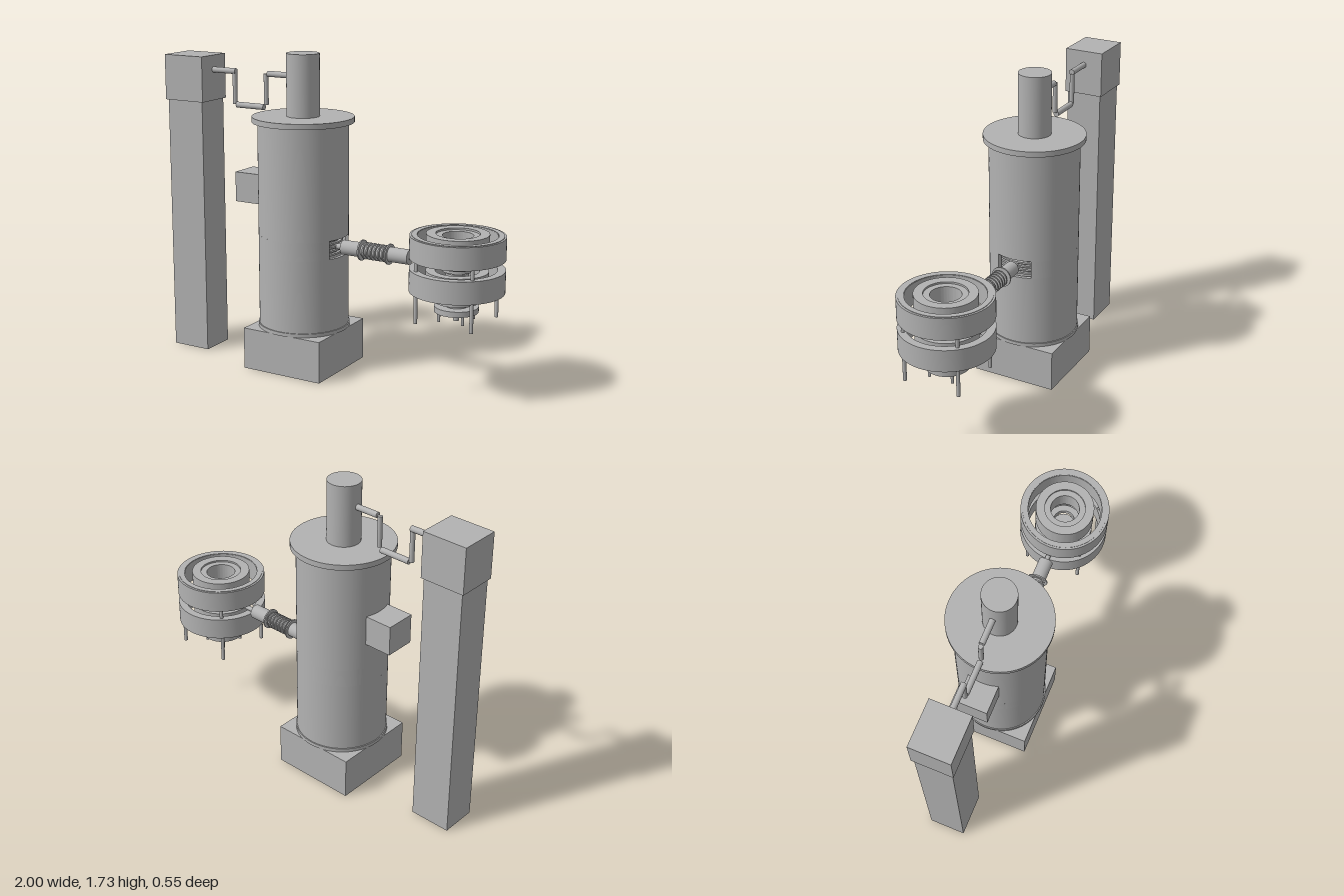
import * as THREE from 'three';
import { toCreasedNormals } from 'three/addons/utils/BufferGeometryUtils.js';

export function createModel() {
  const model = new THREE.Group();
  const steel = new THREE.MeshStandardMaterial({ color: 0xb2b2b2 });
  steel.name = 'grey steel';

  const add = (name, geometry, x = 0, y = 0, z = 0) => {
    const mesh = new THREE.Mesh(geometry, steel);
    mesh.name = name;
    mesh.position.set(x, y, z);
    model.add(mesh);
    return mesh;
  };
  const box = (name, x0, x1, y0, y1, halfZ) =>
    add(name, new THREE.BoxGeometry(x1 - x0, y1 - y0, halfZ * 2), (x0 + x1) / 2, (y0 + y1) / 2);
  // upright cylinder
  const post = (name, x, z, r, y0, y1, sides = 48) =>
    add(name, new THREE.CylinderGeometry(r, r, y1 - y0, sides), x, (y0 + y1) / 2, z);
  // cylinder lying along x
  const rod = (name, x0, x1, y, r, sides = 32) => {
    add(name, new THREE.CylinderGeometry(r, r, x1 - x0, sides), (x0 + x1) / 2, y).rotation.z = Math.PI / 2;
  };
  // upward extrusion of a plan shape
  const raise = (name, shape, x, y0, y1) => {
    const g = new THREE.ExtrudeGeometry(shape, { depth: y1 - y0, bevelEnabled: false, curveSegments: 64 });
    g.rotateX(-Math.PI / 2);
    add(name, toCreasedNormals(g, 0.5), x, y0);
  };
  // ring wall, with an optional opening of half angle gap towards +x
  const ring = (name, x, rOut, rIn, y0, y1, gap = 0) => {
    const shape = new THREE.Shape();
    if (gap) {
      shape.absarc(0, 0, rOut, gap, Math.PI * 2 - gap, false);
      shape.absarc(0, 0, rIn, Math.PI * 2 - gap, gap, true);
      shape.closePath();
    } else {
      shape.absarc(0, 0, rOut, 0, Math.PI * 2, false);
      shape.holes.push(new THREE.Path().absarc(0, 0, rIn, 0, Math.PI * 2, true));
    }
    raise(name, shape, x, y0, y1);
  };
  // square tube, open at both ends
  const squareTube = (name, x, w, d, wall, y0, y1) => {
    const rect = (p, a, b) => p.moveTo(-a, -b).lineTo(a, -b).lineTo(a, b).lineTo(-a, b).closePath();
    const shape = rect(new THREE.Shape(), w, d);
    shape.holes.push(rect(new THREE.Path(), w - wall, d - wall));
    raise(name, shape, x, y0, y1);
  };

  // Side column with its head box
  squareTube('column', -0.875, 0.114, 0.1, 0.022, 0, 1.43);
  box('columnHead', -1, -0.75, 1.43, 1.68, 0.11);

  // Cranked pipe from the column to the top stack
  rod('upperPipe', -0.75, -0.6, 1.6, 0.016);
  post('dropPipe', -0.608, 0, 0.013, 1.42, 1.59, 24);
  rod('lowerPipe', -0.595, -0.418, 1.417, 0.016);
  post('risePipe', -0.404, 0, 0.013, 1.432, 1.6, 24);
  rod('stackPipe', -0.39, -0.25, 1.6, 0.016);

  // Hollow square base
  const bx = -0.17;
  squareTube('base', bx, 0.24, 0.24, 0.055, 0, 0.22);
  box('baseTop', bx - 0.24, bx + 0.24, 0.22, 0.23, 0.24);

  // Main vessel, with a port in the wall
  ring('bodyFlange', bx, 0.251, 0.225, 0.23, 0.25);
  ring('lowerBody', bx, 0.245, 0.225, 0.23, 0.65);
  ring('portBand', bx, 0.245, 0.225, 0.65, 0.75, 0.42);
  ring('upperBody', bx, 0.245, 0.225, 0.75, 1.36);
  post('liner', bx, 0, 0.2, 0.24, 1.36, 64);
  for (let i = 0; i < 5; i++) ring('linerRib', bx, 0.215, 0.195, 0.656 + i * 0.02, 0.666 + i * 0.02);
  post('lid', bx, 0, 0.275, 1.36, 1.39, 64);
  post('topStack', bx, 0, 0.089, 1.39, 1.725, 64);
  box('sideBox', -0.556, -0.4, 0.895, 1.06, 0.085);

  // Feed line with bellows
  rod('portPipe', 0.02, 0.08, 0.7, 0.016);
  rod('feedPipeInner', 0.08, 0.2, 0.7, 0.04);
  rod('feedPipeOuter', 0.355, 0.48, 0.7, 0.04);
  rod('bellowsCore', 0.2, 0.36, 0.7, 0.033);
  for (let i = 0; i < 8; i++) {
    const x = 0.193 + i * 0.0234;
    rod('bellowsFin', x, x + 0.008, 0.7, i % 7 ? 0.046 : 0.056);
  }
  rod('injectorPipe', 0.48, 0.655, 0.7, 0.013);

  // Double ring chamber
  const rx = 0.752;
  for (const [y0, y1] of [[0.56, 0.68], [0.735, 0.855]]) ring('outerRing', rx, 0.247, 0.205, y0, y1);
  ring('upperRimLip', rx, 0.236, 0.207, 0.855, 0.858);
  ring('upperInnerRing', rx, 0.162, 0.113, 0.745, 0.865);
  ring('upperInnerStep', rx, 0.113, 0.08, 0.745, 0.855);
  ring('lowerInnerRing', rx, 0.162, 0.113, 0.565, 0.67);
  ring('targetRing', rx, 0.095, 0.06, 0.688, 0.7);
  ring('targetHolder', rx, 0.08, 0.06, 0.67, 0.69);

  // Stepped pedestal under the chamber
  post('pedestalCore', rx, 0, 0.06, 0.48, 0.66);
  post('pedestalUpperDisc', rx, 0, 0.115, 0.505, 0.535);
  post('pedestalLowerDisc', rx, 0, 0.115, 0.452, 0.482);
  post('centrePin', rx, 0, 0.016, 0.403, 0.452, 24);

  // Legs and pins around the chamber
  for (const sx of [-1, 1]) for (const sz of [-1, 1]) {
    post('chamberLeg', rx + sx * 0.156, sz * 0.156, 0.01, 0.403, 0.74, 20);
    post('pedestalPin', rx + sx * 0.067, sz * 0.067, 0.008, 0.403, 0.455, 16);
  }
  return model;
}
